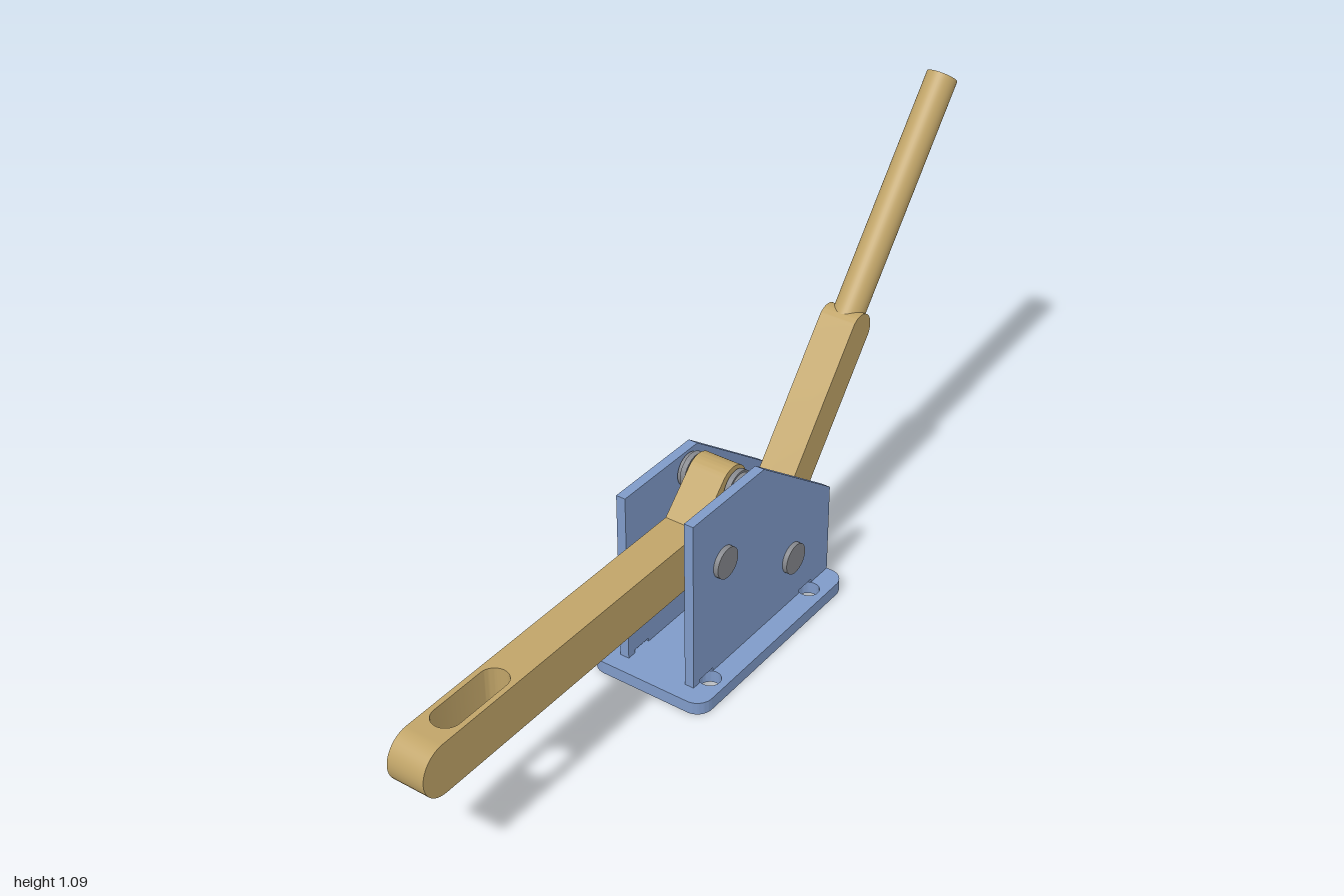
import * as THREE from 'three';
import { toCreasedNormals } from 'three/addons/utils/BufferGeometryUtils.js';

export function createModel() {
  const model = new THREE.Group();
  const material = (name, color) => {
    const m = new THREE.MeshStandardMaterial({ color });
    m.name = name;
    return m;
  };
  const blue = material('blue painted steel', 0x7f9ac8);
  const tan = material('tan metal', 0xc0a468);
  const grey = material('grey steel', 0x85878c);

  const add = (name, geometry, mat, parent = model) => {
    const mesh = new THREE.Mesh(geometry, mat);
    mesh.name = name;
    parent.add(mesh);
    return mesh;
  };
  const extrude = (shape, depth, extra = {}) =>
    new THREE.ExtrudeGeometry(shape, { depth, bevelEnabled: false, curveSegments: 20, ...extra });
  const smooth = (g) => toCreasedNormals(g, 0.5);

  // Bar with round ends between two points, lying in the x-y plane from z0 to z1
  const roundBar = ([ax, ay], [bx, by], ra, rb, z0, z1) => {
    const angle = Math.atan2(by - ay, bx - ax);
    const shape = new THREE.Shape();
    shape.absarc(bx, by, rb, angle - Math.PI / 2, angle + Math.PI / 2);
    shape.absarc(ax, ay, ra, angle + Math.PI / 2, angle + Math.PI * 1.5);
    return smooth(extrude(shape, z1 - z0).translate(0, 0, z0));
  };
  const rodZ = (r, length, [x, y], z = 0) =>
    new THREE.CylinderGeometry(r, r, length, 32).rotateX(Math.PI / 2).translate(x, y, z);

  const armPivot = [-0.07, 0.317];
  const leverPivot = [0.207, 0.16];
  const armJoint = [0.045, 0.43];
  const leverJoint = [0.14, 0.26];
  const halfWidth = 0.047;

  // Base plate with rounded corners and four bolt holes
  const [x0, x1, zb, rc] = [-0.23, 0.365, 0.157, 0.04];
  const base = new THREE.Shape();
  base.absarc(x1 - rc, zb - rc, rc, 0, Math.PI / 2);
  base.absarc(x0 + rc, zb - rc, rc, Math.PI / 2, Math.PI);
  base.absarc(x0 + rc, -zb + rc, rc, Math.PI, Math.PI * 1.5);
  base.absarc(x1 - rc, -zb + rc, rc, Math.PI * 1.5, Math.PI * 2);
  for (const x of [-0.135, 0.27]) for (const z of [-0.113, 0.113]) {
    base.holes.push(new THREE.Path().absarc(x, z, 0.026, 0, Math.PI * 2, true));
  }
  add('basePlate', smooth(extrude(base, 0.032).rotateX(-Math.PI / 2)), blue);

  // Side plates, relieved above the bolt holes
  const side = new THREE.Shape([
    [-0.185, 0.031], [-0.161, 0.031], [-0.161, 0.041], [-0.109, 0.041], [-0.109, 0.031],
    [0.244, 0.031], [0.244, 0.041], [0.296, 0.041], [0.296, 0.031],
    [0.365, 0.031], [0.365, 0.27], [0.085, 0.476], [-0.185, 0.476],
  ].map(([x, y]) => new THREE.Vector2(x, y)));
  for (const z of [0.079, -0.103]) {
    add(z > 0 ? 'frontSidePlate' : 'backSidePlate', extrude(side, 0.024).translate(0, 0, z), blue);
  }

  // Pivot pins through the side plates, and short pins through the links
  const pin = (name, at, shaftR, headR, headZ0, headZ1) => {
    const group = new THREE.Group();
    group.name = name;
    model.add(group);
    add('shaft', rodZ(shaftR, headZ0 * 2, at), grey, group);
    for (const s of [-1, 1]) {
      add('head', rodZ(headR, headZ1 - headZ0, at, s * (headZ0 + headZ1) / 2), grey, group);
    }
  };
  pin('armPivotPin', armPivot, 0.023, 0.039, 0.103, 0.115);
  pin('leverPivotPin', leverPivot, 0.023, 0.039, 0.103, 0.115);
  pin('armLinkPin', armJoint, 0.022, 0.041, 0.066, 0.076);
  pin('leverLinkPin', leverJoint, 0.022, 0.041, 0.066, 0.076);

  // Pair of toggle links
  for (const z of [0.053, -0.066]) {
    add('toggleLink', roundBar(armJoint, leverJoint, 0.046, 0.048, z, z + 0.013), grey);
  }

  // Clamp arm: slotted bar whose outer end is rounded in side profile
  const armR = 0.0625;
  const armShape = new THREE.Shape();
  armShape.moveTo(-1, -halfWidth).lineTo(armPivot[0], -halfWidth);
  armShape.lineTo(armPivot[0], halfWidth).lineTo(-1, halfWidth);
  const slot = new THREE.Path();
  slot.absarc(-0.871, 0, 0.034, Math.PI * 1.5, Math.PI / 2, true);
  slot.absarc(-0.729, 0, 0.034, Math.PI / 2, -Math.PI / 2, true);
  armShape.holes.push(slot);
  const arm = extrude(armShape, 1, { steps: 20 }).rotateX(-Math.PI / 2);
  const p = arm.attributes.position;
  for (let i = 0; i < p.count; i++) {
    const a = Math.PI * p.getY(i);
    p.setY(i, armPivot[1] - armR * Math.cos(a));
    if (p.getX(i) < -0.99) p.setX(i, -1 + armR - armR * Math.sin(a));
  }
  add('clampArm', smooth(arm), tan);
  add('armHub', rodZ(armR, halfWidth * 2, armPivot), tan);
  add('armKnuckle', roundBar(armPivot, armJoint, 0.052, 0.052, -halfWidth, halfWidth), tan);

  // Lever: hub, short lobe to the links, flat bar and round grip
  const dir = new THREE.Vector2(0.633, 0.774).normalize();
  const tip = new THREE.Vector2(0.967, 1.067);
  const along = (d) => tip.clone().addScaledVector(dir, -d).toArray();
  add('leverHub', rodZ(0.062, halfWidth * 2, leverPivot), tan);
  add('leverLobe', roundBar(leverPivot, leverJoint, 0.05, 0.05, -halfWidth, halfWidth), tan);
  add('leverBar', roundBar(along(1.185), along(0.632), 0.043, 0.043, -halfWidth, halfWidth), tan);
  const grip = add('leverGrip', new THREE.CylinderGeometry(0.038, 0.038, 0.632, 40), tan);
  grip.position.set(...along(0.316), 0);
  grip.rotation.z = Math.atan2(dir.y, dir.x) - Math.PI / 2;

  return model;
}
